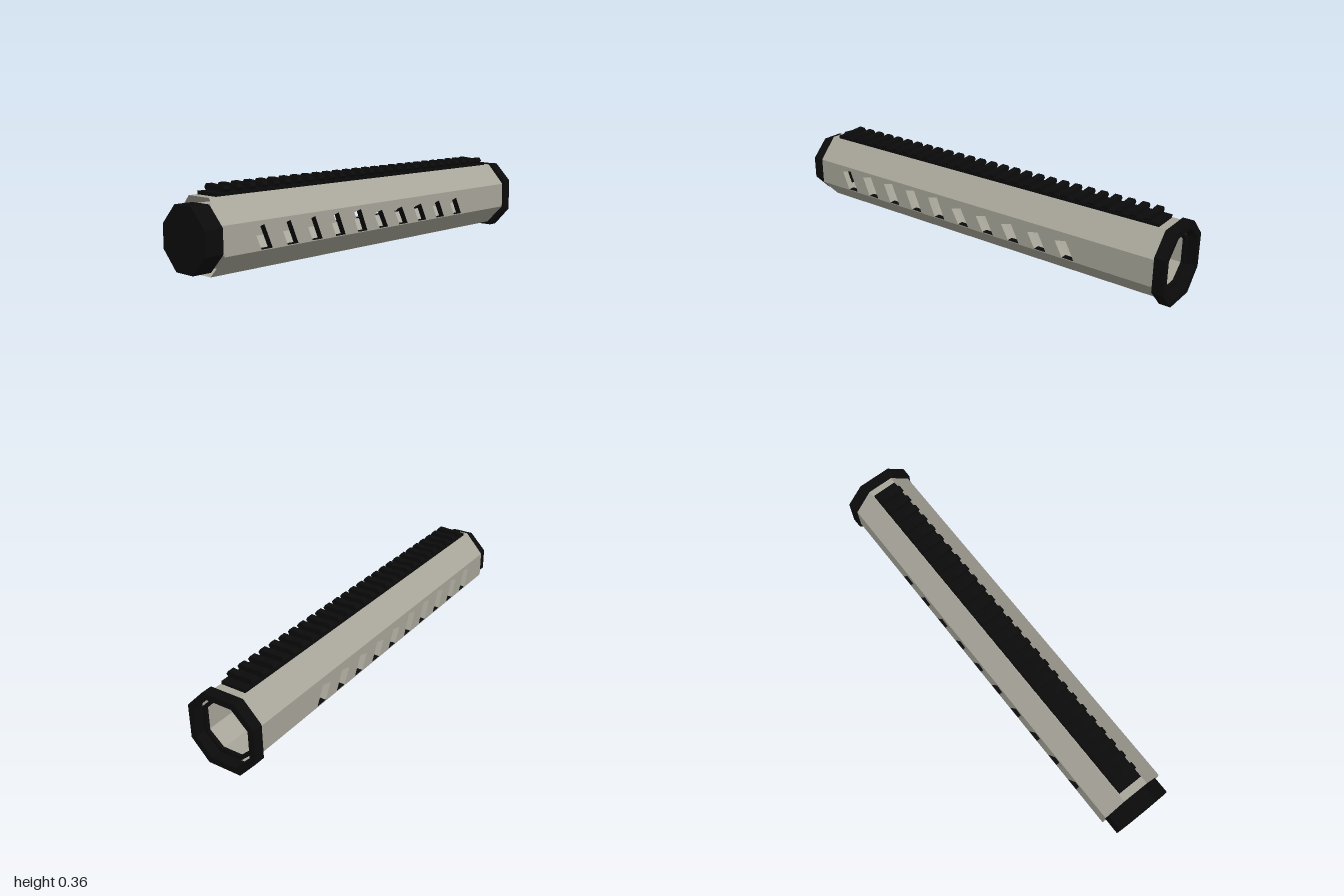
import * as THREE from 'three';

const grey = new THREE.MeshStandardMaterial({ color: 0xa9a79b, side: THREE.DoubleSide });
grey.name = 'warm grey metal';
const black = new THREE.MeshStandardMaterial({ color: 0x0b0b0b, side: THREE.DoubleSide });
black.name = 'black';

// Octagon corners from two half-widths and four heights, anticlockwise
const octagon = (flat, wide, y0, y1, y2, y3) => [
  [-flat, y0], [flat, y0], [wide, y1], [wide, y2],
  [flat, y3], [-flat, y3], [-wide, y2], [-wide, y1],
].map(([x, y]) => new THREE.Vector2(x, y));

const OUTER = octagon(0.062, 0.15, 0.015, 0.105, 0.225, 0.322);
const INNER = octagon(0.05, 0.12, 0.043, 0.105, 0.22, 0.29);
const FRONT = 0.925, BACK = -0.925;

function add(group, name, geometry, material) {
  const mesh = new THREE.Mesh(geometry, material);
  mesh.name = name;
  group.add(mesh);
  return mesh;
}

// Prism along z, optionally hollow
function prism(points, zFrom, zTo, hole) {
  const shape = new THREE.Shape(points);
  if (hole) shape.holes.push(new THREE.Path(hole));
  return new THREE.ExtrudeGeometry(shape, { depth: zTo - zFrom, bevelEnabled: false }).translate(0, 0, zFrom);
}

// Flat quads, each a list of four [x, y, z] corners
function quads(list) {
  const pos = [];
  for (const [a, b, c, d] of list) pos.push(...a, ...b, ...c, ...a, ...c, ...d);
  const g = new THREE.BufferGeometry();
  g.setAttribute('position', new THREE.Float32BufferAttribute(pos, 3));
  g.computeVertexNormals();
  return g;
}

// Slanted slot corners as [z, y]: front top, rear top, rear bottom, front bottom
const slots = Array.from({ length: 10 }, (_, i) => {
  const z = 0.78 - i * 0.1385, drop = i < 5 ? 0 : 0.018;
  return [[z, 0.195 - drop], [z - 0.053, 0.208 - drop], [z - 0.095, 0.109], [z - 0.037, 0.109]];
});

// Side facet with the slots cut out
function slottedPanel(x, y0, y1) {
  const shape = new THREE.Shape([[-FRONT, y0], [-BACK, y0], [-BACK, y1], [-FRONT, y1]].map(p => new THREE.Vector2(...p)));
  for (const s of slots) shape.holes.push(new THREE.Path(s.map(([z, y]) => new THREE.Vector2(-z, y))));
  const g = new THREE.ShapeGeometry(shape);
  g.rotateY(Math.PI / 2).translate(Math.abs(x), 0, 0);
  if (x < 0) g.rotateY(Math.PI).scale(1, 1, -1);
  // restore outward winding after the mirror
  if (x < 0) {
    const idx = g.index.array;
    for (let i = 0; i < idx.length; i += 3) [idx[i], idx[i + 1]] = [idx[i + 1], idx[i]];
    g.computeVertexNormals();
  }
  return g;
}

// Plain facets of a tube; the two upright sides are left for slotted panels
function facets(points) {
  return quads([0, 1, 3, 4, 5, 7].map(i => {
    const a = points[i], b = points[(i + 1) % 8];
    return [[a.x, a.y, FRONT], [a.x, a.y, BACK], [b.x, b.y, BACK], [b.x, b.y, FRONT]];
  }));
}

export function createModel() {
  const model = new THREE.Group();
  model.name = 'slottedTube';

  // Double-walled octagonal tube
  const body = new THREE.Group();
  body.name = 'body';
  model.add(body);
  add(body, 'outerFacets', facets(OUTER), grey);
  add(body, 'innerFacets', facets(INNER), grey);
  for (const side of [1, -1]) {
    const label = side > 0 ? 'left' : 'right';
    add(body, label + 'OuterSide', slottedPanel(side * 0.15, 0.105, 0.225), grey);
    add(body, label + 'InnerSide', slottedPanel(side * 0.12, 0.105, 0.22), grey);

    // Slot walls: top and front grey, rear and bottom black
    const light = [], dark = [];
    for (const s of slots) {
      s.forEach(([z, y], i) => {
        const [z2, y2] = s[(i + 1) % 4];
        const a = side * 0.15, b = side * 0.12;
        const wall = [[a, y, z], [a, y2, z2], [b, y2, z2], [b, y, z]];
        if (side < 0) wall.reverse();
        (i === 1 || i === 2 ? dark : light).push(wall);
      });
    }
    add(body, label + 'SlotUpperWalls', quads(light), grey);
    add(body, label + 'SlotLowerWalls', quads(dark), black);
  }

  // Front plug
  add(model, 'frontPlug', prism(octagon(0.052, 0.132, 0.03, 0.112, 0.213, 0.295), 0.915, 1), black);

  // Rear collar and the dark rim of the inner wall
  const collar = octagon(0.078, 0.16, 0, 0.088, 0.24, 0.325);
  const collarHole = octagon(0.06, 0.133, 0.028, 0.1, 0.228, 0.298);
  add(model, 'rearCollar', prism(collar, -0.975, -0.925, collarHole), black);
  const rim = octagon(0.053, 0.125, 0.037, 0.103, 0.222, 0.295);
  const rimHole = octagon(0.046, 0.11, 0.053, 0.11, 0.215, 0.28);
  add(model, 'innerRim', prism(rim, -0.935, -0.92, rimHole), black);

  // Top rail with cross teeth
  const rail = new THREE.Group();
  rail.name = 'topRail';
  model.add(rail);
  const base = new THREE.BoxGeometry(0.116, 0.016, 1.775);
  add(rail, 'railBase', base, black).position.set(0, 0.328, 0);
  const profile = [[-0.05, 0.33], [0.05, 0.33], [0.064, 0.347], [0.054, 0.362], [0, 0.358], [-0.054, 0.362], [-0.064, 0.347]]
    .map(p => new THREE.Vector2(...p));
  const tooth = prism(profile, -0.015, 0.015);
  for (let i = 0; i < 27; i++) add(rail, 'railTooth', tooth, black).position.z = 0.834 - i * 0.0642;

  return model;
}
